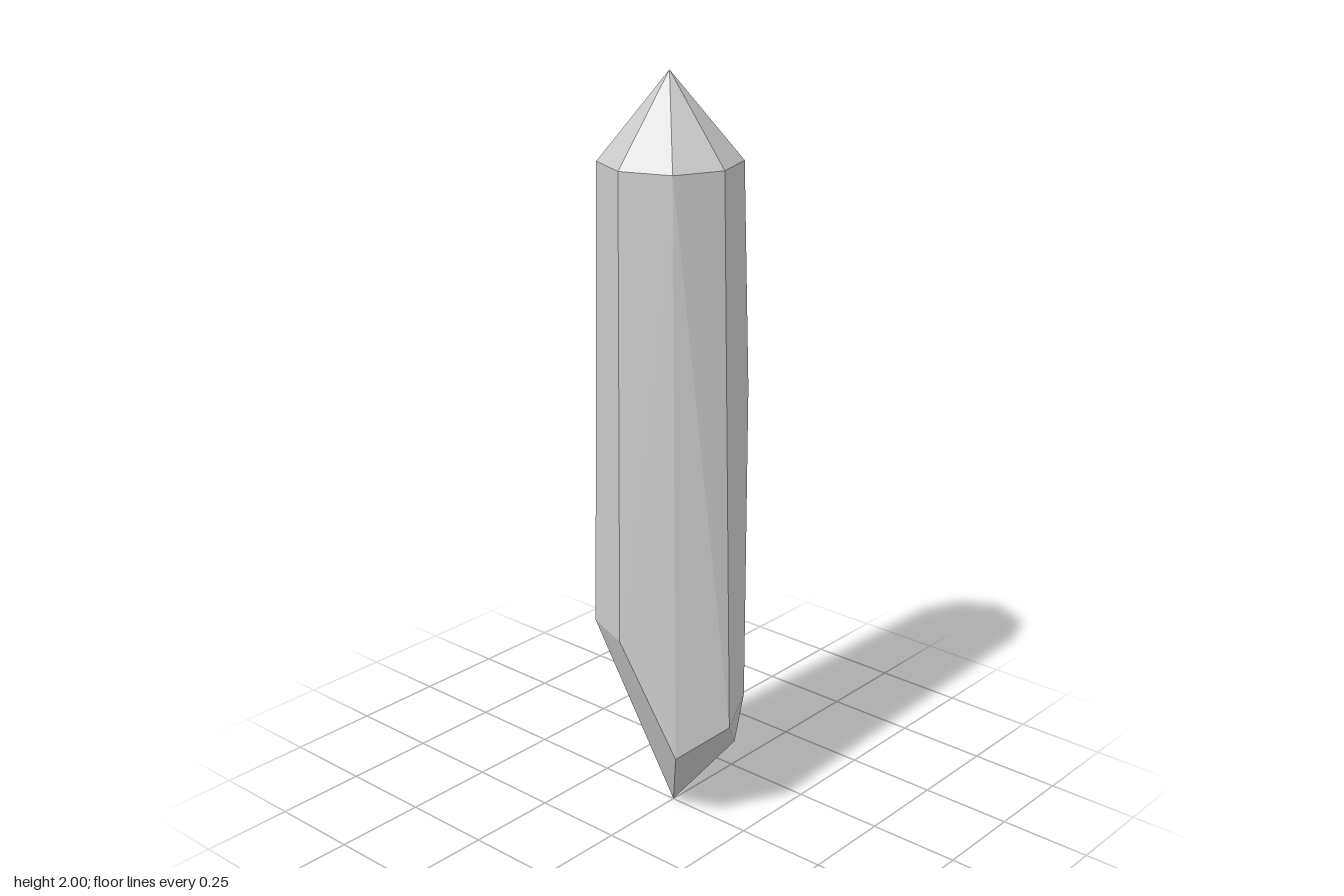
import * as THREE from 'three';
import { ConvexGeometry } from 'three/addons/geometries/ConvexGeometry.js';

// Corners of the cut stone, listed clockwise from the back
const tips = [[0.005, 2, 0.02], [0, 0, 0]];

// Level shoulder under the eight-sided point: [x, z]
const shoulderHeight = 1.78;
const shoulder = [
  [0.02, -0.155], [0.135, -0.108], [0.175, 0.015], [0.118, 0.137],
  [-0.01, 0.187], [-0.128, 0.137], [-0.167, 0.018], [-0.108, -0.105],
];

// Uneven lower girdle where the sides break towards the bottom tip
const girdle = [
  [0.02, 0.23, -0.2], [0.07, 0.24, -0.165], [0.125, 0.18, -0.11],
  [0.185, 0.36, -0.073], [0.217, 0.31, 0.025], [0.128, 0.23, 0.137],
  [-0.012, 0.55, 0.197], [-0.15, 0.55, 0.142], [-0.22, 0.54, -0.01],
  [-0.11, 0.18, -0.09], [-0.085, 0.45, -0.158],
];

// Upper ends of the two long slanted facets at the back
const facetTops = [[0.147, 1.2, -0.12], [-0.125, 0.95, -0.133]];

export function createModel() {
  const group = new THREE.Group();
  group.name = 'crystal';

  const corners = [
    ...tips,
    ...shoulder.map(([x, z]) => [x, shoulderHeight, z]),
    ...girdle,
    ...facetTops,
  ].map((c) => new THREE.Vector3(...c));

  // Faceted stone
  const stone = new THREE.Mesh(
    new ConvexGeometry(corners),
    new THREE.MeshStandardMaterial({ color: 0xcccccc, flatShading: true }),
  );
  stone.name = 'facetedStone';
  group.add(stone);
  return group;
}
